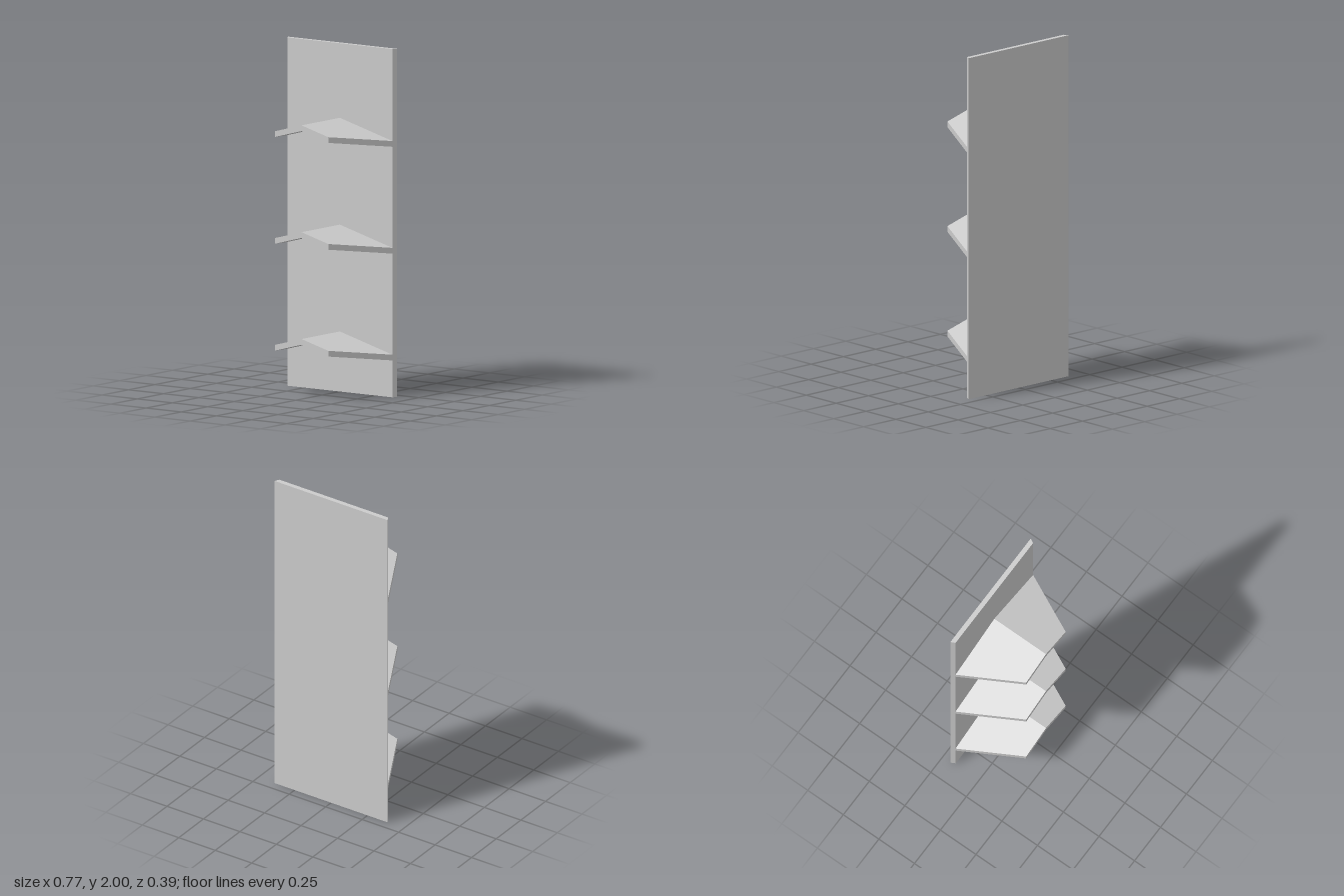
import * as THREE from 'three';

const BACK = -0.195, SEAM = -0.168, FRONT = 0.195;
const SLOPE = 0.268; // fall of the shelves away from the central ridge

// Half width of the tapering plan at depth z
const halfWidth = (z) => THREE.MathUtils.mapLinear(z, BACK, FRONT, 0.387, 0.19);

// Slab between two depths, tapered to the plan and folded down from a ridge at x = 0
function taperedSlab(height, zBack, zFront, slope) {
  const geometry = new THREE.BoxGeometry(2, height, zFront - zBack, 2, 1, 1);
  geometry.translate(0, 0, (zBack + zFront) / 2);
  const p = geometry.attributes.position;
  for (let i = 0; i < p.count; i++) {
    const x = p.getX(i) * halfWidth(p.getZ(i));
    p.setX(i, x);
    p.setY(i, p.getY(i) - slope * Math.abs(x));
  }
  geometry.computeVertexNormals();
  return geometry;
}

export function createModel() {
  const group = new THREE.Group();
  group.name = 'wallShelf';
  const material = new THREE.MeshStandardMaterial({ color: 0xcccccc, flatShading: true });

  // Tall back panel with bevelled sides
  const panel = new THREE.Mesh(taperedSlab(2, BACK, SEAM, 0), material);
  panel.name = 'backPanel';
  panel.position.y = 1;
  group.add(panel);

  // Three ridged shelves
  const thickness = 0.033;
  const shelfGeometry = taperedSlab(thickness, SEAM, FRONT, SLOPE);
  ['lowerShelf', 'middleShelf', 'upperShelf'].forEach((name, i) => {
    const shelf = new THREE.Mesh(shelfGeometry, material);
    shelf.name = name;
    shelf.position.y = 0.345 + i * 0.6135 - thickness / 2;
    group.add(shelf);
  });

  return group;
}
